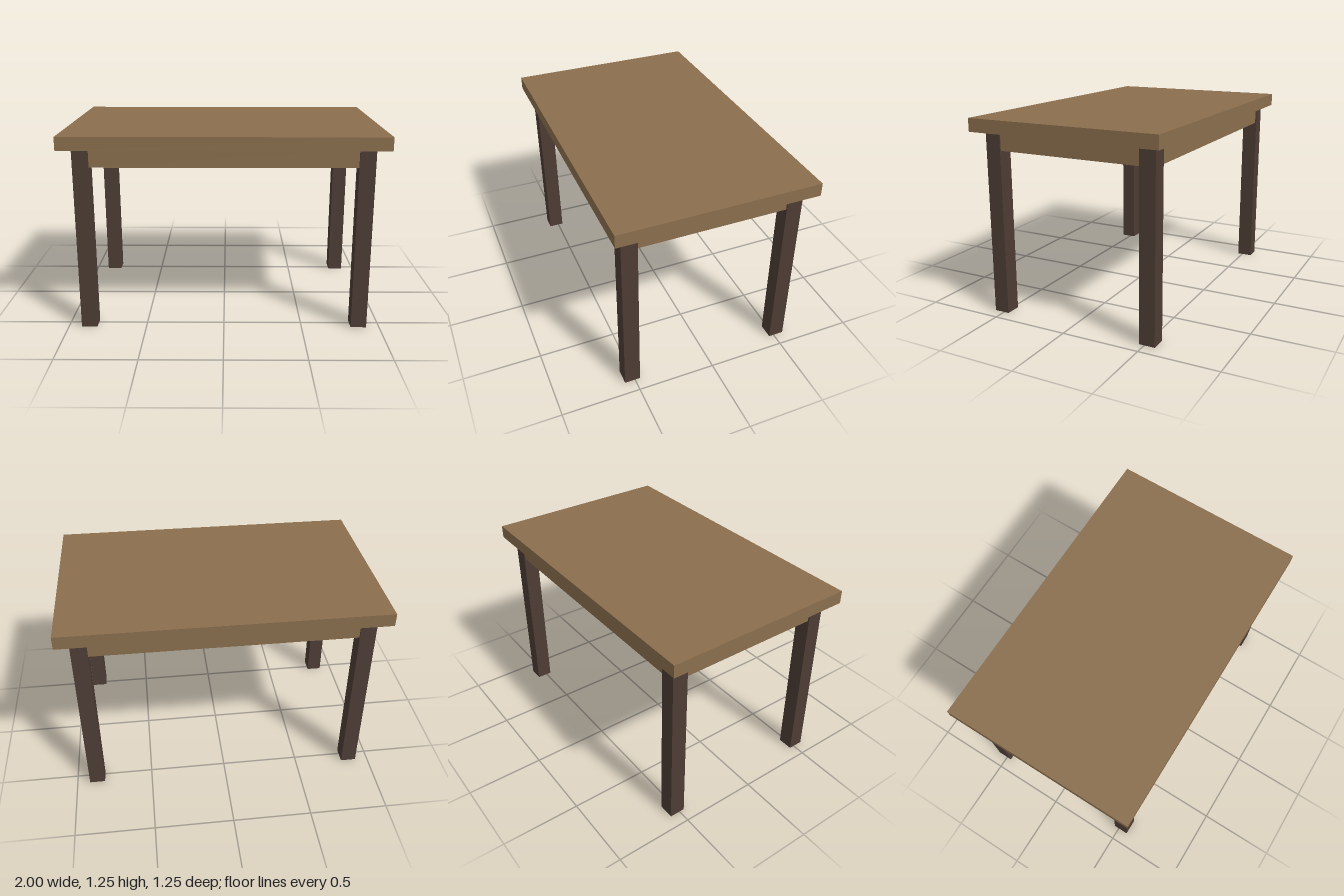
import * as THREE from 'three';

export function createModel() {
  const table = new THREE.Group();
  table.name = 'table';

  const oak = new THREE.MeshStandardMaterial({ color: 0x8b6f4e });
  oak.name = 'oak';
  const darkWood = new THREE.MeshStandardMaterial({ color: 0x4e3d35 });
  darkWood.name = 'dark wood';

  const addBox = (name, material, size, position) => {
    const mesh = new THREE.Mesh(new THREE.BoxGeometry(...size), material);
    mesh.name = name;
    mesh.position.set(...position);
    table.add(mesh);
  };

  const topThickness = 0.083;
  const legHeight = 1.167;
  const legWidth = 0.1;
  const legX = 0.867; // leg centres
  const legZ = 0.517;
  const apronHeight = 0.117;
  const apronThickness = 0.083;
  const apronY = legHeight - apronHeight / 2;

  // Table top
  addBox('tableTop', oak, [2, topThickness, 1.25], [0, legHeight + topThickness / 2, 0]);

  for (const s of [1, -1]) {
    // Long rails at front and back, short rails at the sides, between the legs
    addBox(s > 0 ? 'frontApron' : 'backApron', oak,
      [2 * legX - legWidth, apronHeight, apronThickness], [0, apronY, s * legZ]);
    addBox(s > 0 ? 'leftApron' : 'rightApron', oak,
      [apronThickness, apronHeight, 2 * legZ - legWidth], [s * legX, apronY, 0]);

    // Legs
    for (const side of [1, -1]) {
      addBox(`${s > 0 ? 'front' : 'back'}${side > 0 ? 'Left' : 'Right'}Leg`, darkWood,
        [legWidth, legHeight, legWidth], [side * legX, legHeight / 2, s * legZ]);
    }
  }

  return table;
}
